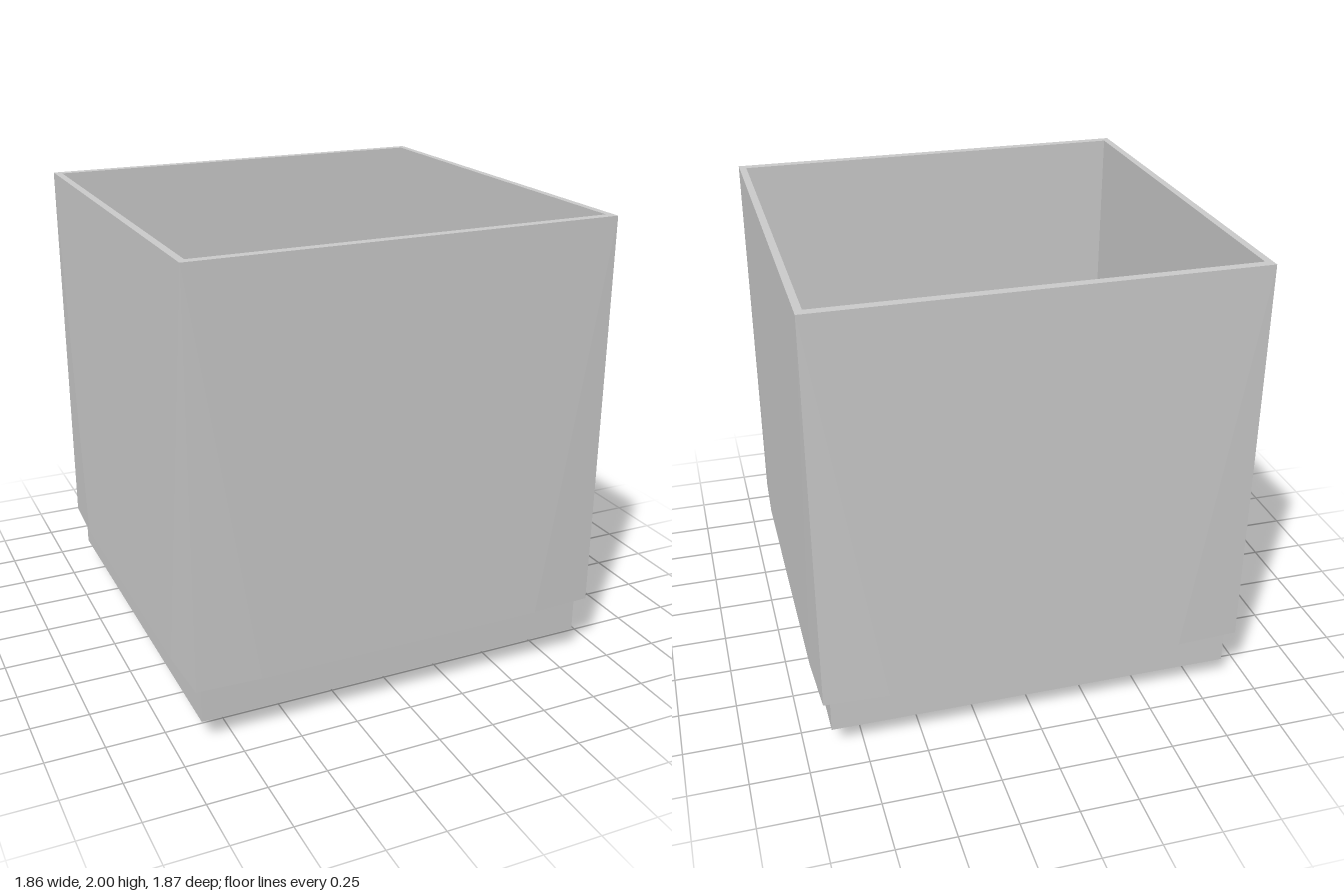
import * as THREE from 'three';

const mat = new THREE.MeshStandardMaterial({ color: 0xcccccc, flatShading: true, side: THREE.DoubleSide });

// Surface running through successive closed loops of equal length
function loft(name, loops) {
  const pos = [];
  for (let k = 0; k + 1 < loops.length; k++) {
    const lo = loops[k], hi = loops[k + 1], n = lo.length;
    for (let i = 0; i < n; i++) {
      const j = (i + 1) % n;
      for (const tri of [[lo[i], lo[j], hi[j]], [lo[i], hi[j], hi[i]]]) {
        const [a, b, c] = tri.map(p => new THREE.Vector3(...p));
        if (b.clone().sub(a).cross(c.clone().sub(a)).length() < 1e-9) continue;
        pos.push(...tri.flat());
      }
    }
  }
  const g = new THREE.BufferGeometry();
  g.setAttribute('position', new THREE.Float32BufferAttribute(pos, 3));
  g.computeVertexNormals();
  const m = new THREE.Mesh(g, mat);
  m.name = name;
  return m;
}

// Rectangular loop with three points per side; inner points at +-t, pushed out by bow
function ring(x, z, y, t = 1, bow = 0) {
  const pts = [];
  for (let s = 0; s < 4; s++) {
    for (const [u, b] of [[-1, 0], [-t, bow], [t, bow]]) {
      const [px, pz] = [[u * x, z + b], [x + b, -u * z], [-u * x, -z - b], [-x - b, u * z]][s];
      pts.push([px, y, pz]);
    }
  }
  return pts;
}

// Block given by its extents
function block(name, x0, x1, y0, y1, z0, z1) {
  const m = new THREE.Mesh(new THREE.BoxGeometry(x1 - x0, y1 - y0, z1 - z0), mat);
  m.position.set((x0 + x1) / 2, (y0 + y1) / 2, (z0 + z1) / 2);
  m.name = name;
  return m;
}

export function createModel() {
  const root = new THREE.Group();
  root.name = 'openBox';

  // Shell: recessed plinth, bowed lower edge, square rim, inner walls
  root.add(loft('shell', [
    ring(0.885, 0.88, 0.1),
    ring(0.885, 0.88, 0.27),
    ring(0.918, 0.92, 0.27, 0.7, 0.013),
    ring(0.918, 0.92, 2),
    ring(0.887, 0.88, 2),
    ring(0.88, 0.875, 0.1),
  ]));

  // Floor with a square drain opening
  const rect = (C, x, z) => new C([[-x, -z], [x, -z], [x, z], [-x, z]].map(p => new THREE.Vector2(...p)));
  const shape = rect(THREE.Shape, 0.885, 0.88);
  shape.holes.push(rect(THREE.Path, 0.22, 0.22));
  const floor = new THREE.Mesh(new THREE.ShapeGeometry(shape).rotateX(Math.PI / 2), mat);
  floor.position.y = 0.1;
  floor.name = 'floor';
  root.add(floor);

  // Funnel below the floor, its rim dipping at mid-side
  const rim = ring(0.112, 0.155, 0.013, 0.05);
  rim.forEach((p, i) => { if (i % 3) p[1] = 0; });
  root.add(loft('funnel', [rim, ring(0.22, 0.22, 0.1, 0.05)]));

  // Inner steps along the walls
  const steps = new THREE.Group();
  steps.name = 'innerSteps';
  steps.add(
    block('frontPlatform', -0.88, 0.28, 0.12, 0.94, -0.04, 0.875),
    block('sideLedge', -0.88, -0.745, 0.11, 0.94, -0.875, -0.04),
    block('backLedge', -0.56, 0.88, 0.11, 1.11, -0.875, -0.73),
    block('cornerStep', -0.745, -0.56, 0.11, 0.6, -0.875, -0.73),
    block('oppositeLedge', 0.74, 0.88, 0.11, 1.11, -0.73, 0.41),
    block('backTab', 0.56, 0.74, 0.11, 0.6, -0.73, -0.705),
  );
  for (const [z0, z1] of [[-0.73, -0.55], [-0.36, -0.19], [-0.09, -0.04]]) {
    steps.add(block('sideTab', -0.745, -0.705, 0.11, 0.6, z0, z1));
  }
  root.add(steps);
  return root;
}
